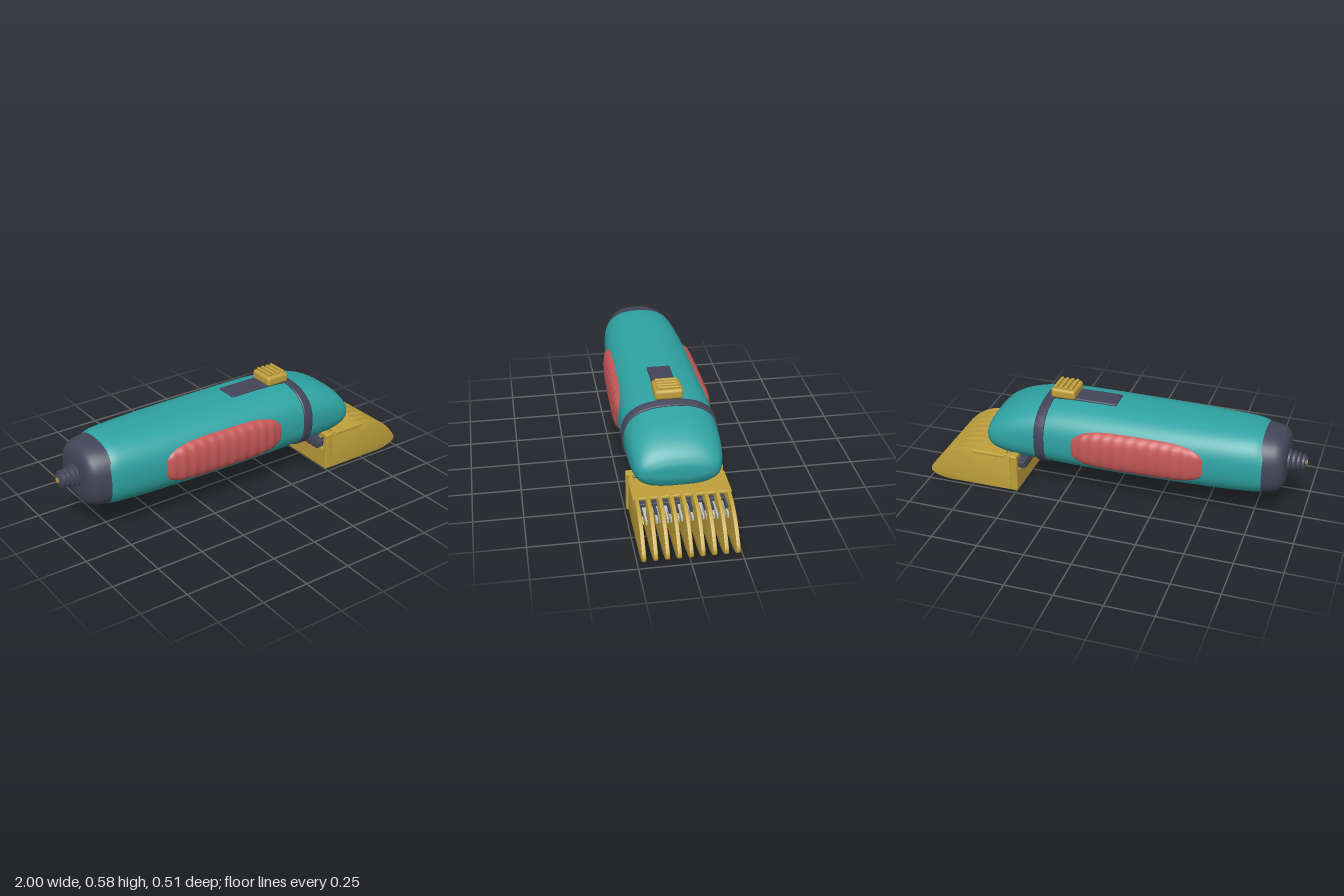
import * as THREE from 'three';
import { toCreasedNormals } from 'three/addons/utils/BufferGeometryUtils.js';
import { RoundedBoxGeometry } from 'three/addons/geometries/RoundedBoxGeometry.js';

const mat = (name, color) => Object.assign(new THREE.MeshStandardMaterial({ color }), { name });

// Surface from a rule: fn(i, j) gives a point; closed joins the last column to the first
function gridGeometry(rows, cols, fn, closed, flip) {
  const pos = [], idx = [];
  const stride = closed ? cols : cols + 1;
  for (let i = 0; i <= rows; i++) for (let j = 0; j < stride; j++) pos.push(...fn(i, j));
  for (let i = 0; i < rows; i++) for (let j = 0; j < cols; j++) {
    const k = (j + 1) % stride;
    const a = i * stride + j, b = a + stride, c = i * stride + k, d = c + stride;
    if (flip) idx.push(a, c, b, b, c, d);
    else idx.push(a, b, c, b, d, c);
  }
  const g = new THREE.BufferGeometry();
  g.setAttribute('position', new THREE.Float32BufferAttribute(pos, 3));
  g.setIndex(idx);
  g.computeVertexNormals();
  return g;
}

// Body sections: x, top y, bottom y, half width
const POWER = 2.5;
const BODY = [
  [-0.8, 0.495, 0.17, 0.185], [-0.74, 0.513, 0.164, 0.198], [-0.6, 0.519, 0.16, 0.212],
  [-0.4, 0.521, 0.157, 0.224], [-0.1, 0.522, 0.154, 0.232], [0.2, 0.52, 0.157, 0.236],
  [0.36, 0.508, 0.163, 0.235], [0.48, 0.484, 0.168, 0.232], [0.56, 0.455, 0.177, 0.226],
  [0.62, 0.42, 0.195, 0.215], [0.655, 0.386, 0.22, 0.198], [0.672, 0.358, 0.248, 0.17],
  [0.68, 0.335, 0.272, 0.125], [0.682, 0.306, 0.305, 0.001],
];

// Smooth the section table by splitting each span along a spline
function refine(table, n) {
  const a = new THREE.CatmullRomCurve3(table.map(s => new THREE.Vector3(s[0], s[1], s[2])), false, 'catmullrom', 0.5);
  const b = new THREE.CatmullRomCurve3(table.map(s => new THREE.Vector3(s[0], s[3], 0)), false, 'catmullrom', 0.5);
  const count = (table.length - 1) * n;
  return Array.from({ length: count + 1 }, (_, i) => {
    const p = a.getPoint(i / count), q = b.getPoint(i / count);
    return [p.x, p.y, p.z, q.y];
  });
}

// Loft superellipse sections along x
function loft(table, sides = 56) {
  const sp = v => Math.sign(v) * Math.pow(Math.abs(v), 2 / POWER);
  return gridGeometry(table.length - 1, sides, (i, j) => {
    const [x, top, bot, hz] = table[i], t = j / sides * Math.PI * 2;
    return [x, (top + bot) / 2 + (top - bot) / 2 * sp(Math.sin(t)), hz * sp(Math.cos(t))];
  }, true);
}

const fine = refine(BODY, 5);
function sectionAt(x) {
  let i = 0;
  while (i < fine.length - 2 && fine[i + 1][0] < x) i++;
  const a = fine[i], b = fine[i + 1], t = (x - a[0]) / (b[0] - a[0]);
  return a.map((v, k) => v + (b[k] - v) * t);
}
function bodyZ(x, y) {
  const [, top, bot, hz] = sectionAt(x);
  const v = Math.min(1, Math.abs(y - (top + bot) / 2) / ((top - bot) / 2));
  return hz * Math.pow(1 - Math.pow(v, POWER), 1 / POWER);
}

// Side grip: raised pad following the body, with shallow ridges
function gripGeometry(side) {
  const nx = 90, ny = 20;
  return gridGeometry(nx, ny, (i, j) => {
    const u = -Math.cos(i / nx * Math.PI), v = -Math.cos(j / ny * Math.PI);
    const x = -0.165 + 0.353 * u;
    const y = 0.335 + v * (0.108 * Math.pow(Math.max(0, 1 - u ** 4), 0.4) + 0.004);
    const inside = (1 - u ** 8) * (1 - v ** 10);
    const lift = -0.004 + inside * (0.023 + 0.003 * Math.cos(x * 2 * Math.PI / 0.06));
    return [x, y, side * (bodyZ(x, y) + lift)];
  }, false, side < 0);
}

// Comb tooth outline, extruded across z
function toothGeometry() {
  const s = new THREE.Shape();
  s.moveTo(0.505, 0.012);
  s.lineTo(0.88, 0.01);
  s.quadraticCurveTo(0.96, 0.014, 0.99, 0.042);
  s.quadraticCurveTo(0.998, 0.055, 0.98, 0.08);
  s.bezierCurveTo(0.93, 0.15, 0.86, 0.212, 0.76, 0.219);
  s.lineTo(0.505, 0.219);
  s.closePath();
  const g = new THREE.ExtrudeGeometry(s, {
    depth: 0.01, bevelThickness: 0.005, bevelSize: 0.005, bevelSegments: 2, curveSegments: 10,
  });
  g.translate(0, 0, -0.005);
  return toCreasedNormals(g, 0.6);
}

export function createModel() {
  const model = new THREE.Group();
  model.name = 'hairClipper';
  const teal = mat('teal shell', 0x2fa3a3), dark = mat('dark rubber', 0x434659);
  const gold = mat('mustard plastic', 0xc0a03c), red = mat('red grip', 0xc65858);
  const steel = mat('steel', 0xc6cacd);

  const add = (name, geometry, material, parent = model) => {
    const m = new THREE.Mesh(geometry, material);
    m.name = name;
    parent.add(m);
    return m;
  };
  // Rounded block given by its limits on each axis
  const block = (name, x0, x1, y0, y1, z0, z1, r, material, parent) => {
    const g = r ? new RoundedBoxGeometry(x1 - x0, y1 - y0, z1 - z0, 2, r)
      : new THREE.BoxGeometry(x1 - x0, y1 - y0, z1 - z0);
    return add(name, g, material, parent).position.set((x0 + x1) / 2, (y0 + y1) / 2, (z0 + z1) / 2);
  };

  // Shell and its seam band
  add('body', loft(fine), teal);
  const band = [[0.332, -0.004], [0.332, 0.004], [0.337, 0.008], [0.38, 0.008], [0.386, 0.004], [0.386, -0.004]];
  add('seamBand', toCreasedNormals(loft(band.map(([x, o]) => {
    const s = sectionAt(x);
    return [x, s[1] + o, s[2] - o, s[3] + o];
  })), 0.6), dark);

  // Rear cap
  const cap = [[-0.905, 0.001, 0.001], [-0.905, 0.09, 0.11], [-0.9, 0.112, 0.132], [-0.89, 0.135, 0.15],
    [-0.873, 0.152, 0.162], [-0.85, 0.16, 0.17], [-0.81, 0.165, 0.18], [-0.775, 0.167, 0.19], [-0.77, 0.155, 0.18]];
  add('rearCap', toCreasedNormals(loft(cap.map(([x, hy, hz]) => [x, 0.335 + hy, 0.335 - hy, hz])), 0.7), dark);

  // Ribbed cord relief with the cord end
  const ribs = [[0, -0.01]];
  for (let i = 0; i < 4; i++) {
    const r = 0.057 - i * 0.005, y = i * 0.024;
    ribs.push([r - 0.012, y], [r, y + 0.004], [r, y + 0.015], [r - 0.012, y + 0.019]);
  }
  ribs.push([0.03, 0.097], [0, 0.097]);
  const relief = new THREE.LatheGeometry(ribs.map(p => new THREE.Vector2(...p)), 24);
  const cord = add('cordRelief', toCreasedNormals(relief, 0.6), dark);
  cord.rotation.z = Math.PI / 2;
  cord.position.set(-0.9, 0.335, 0);
  const end = add('cordEnd', new THREE.CylinderGeometry(0.015, 0.015, 0.02, 16), gold);
  end.rotation.z = Math.PI / 2;
  end.position.set(-0.99, 0.335, 0);

  // Side grips
  add('leftGrip', gripGeometry(1), red);
  add('rightGrip', gripGeometry(-1), red);

  // Slide switch
  block('switchTrack', -0.008, 0.34, 0.5, 0.529, -0.06, 0.06, 0.008, dark);
  block('switchButton', 0.215, 0.348, 0.518, 0.571, -0.072, 0.072, 0.016, gold);
  for (let i = 0; i < 4; i++) {
    const x = 0.24 + i * 0.028;
    block('switchRidge', x - 0.008, x + 0.008, 0.56, 0.584, -0.056, 0.056, 0.005, gold);
  }

  // Cutting blades under the nose
  const blades = new THREE.Group();
  blades.name = 'blades';
  model.add(blades);
  block('lowerBlade', 0.5, 0.745, 0.13, 0.158, -0.21, 0.21, 0, steel, blades);
  block('upperBlade', 0.458, 0.73, 0.158, 0.178, -0.21, 0.21, 0.004, dark, blades);
  block('bladeHeel', 0.455, 0.51, 0.135, 0.165, -0.2, 0.2, 0.005, dark, blades);
  for (let i = 0; i < 25; i++) {
    const z = -0.204 + i * 0.017;
    block('lowerBladeTooth', 0.74, 0.835, 0.132, 0.154, z - 0.004, z + 0.004, 0, steel, blades);
    if (i % 2 === 0) block('upperBladeTooth', 0.72, 0.8, 0.158, 0.177, z - 0.006, z + 0.006, 0, dark, blades);
  }
  for (const s of [-1, 1]) {
    const post = add('bladePost', new THREE.CylinderGeometry(0.022, 0.022, 0.04, 16), steel, blades);
    post.position.set(0.64, 0.186, s * 0.12);
  }

  // Guard comb: rear frame with a window, top plate and nine teeth
  const comb = new THREE.Group();
  comb.name = 'guardComb';
  model.add(comb);
  block('rearWall', 0.487, 0.53, 0.015, 0.132, -0.243, 0.243, 0.008, gold, comb);
  block('rearRail', 0.487, 0.53, 0.2, 0.225, -0.243, 0.243, 0.008, gold, comb);
  for (const s of [-1, 1]) block('rearPost', 0.487, 0.53, 0.02, 0.22, s * 0.228 - 0.015, s * 0.228 + 0.015, 0.008, gold, comb);
  block('topPlate', 0.56, 0.742, 0.204, 0.222, -0.24, 0.24, 0.006, gold, comb);
  const tooth = toothGeometry();
  for (let i = 0; i < 9; i++) add('combTooth', tooth, gold, comb).position.z = (i - 4) * 0.0555;

  return model;
}
